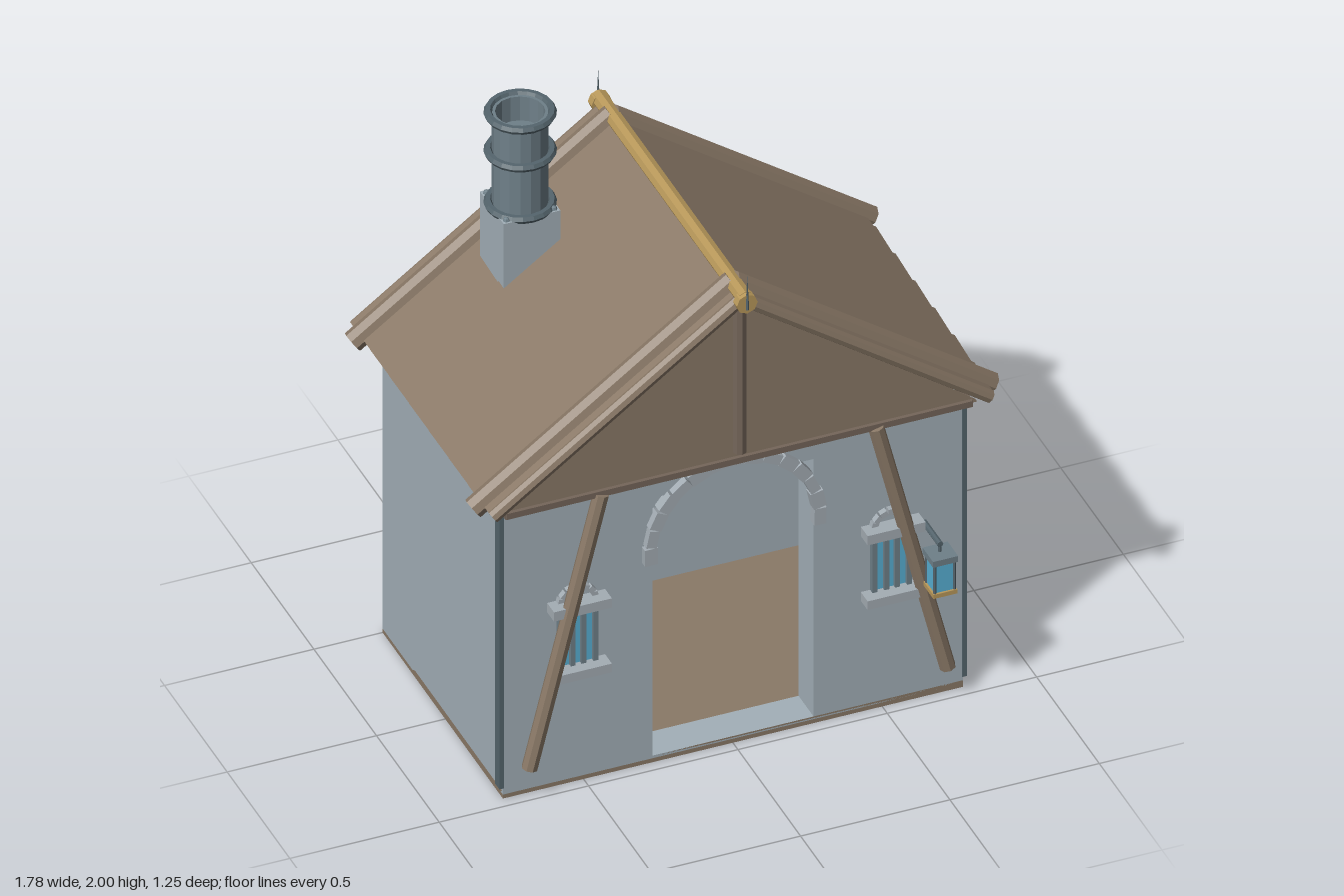
import * as THREE from 'three';

const paint = (color, side = THREE.FrontSide) =>
  new THREE.MeshStandardMaterial({ color, flatShading: true, side });
const WALL = paint(0xa3b0b8), STONE = paint(0xa4adb4), WOOD = paint(0x8a7967),
  DARKWOOD = paint(0x75665a), GOLD = paint(0xb8985a), IRON = paint(0x55656d, THREE.DoubleSide),
  STEEL = paint(0x6f8089, THREE.DoubleSide), GLASS = paint(0x58b0d4);

function add(parent, name, geometry, material, x = 0, y = 0, z = 0) {
  const mesh = new THREE.Mesh(geometry, material);
  mesh.name = name;
  mesh.position.set(x, y, z);
  parent.add(mesh);
  return mesh;
}

// box given by its low and high corners
function box(parent, name, material, x0, x1, y0, y1, z0, z1) {
  return add(parent, name, new THREE.BoxGeometry(x1 - x0, y1 - y0, z1 - z0), material,
    (x0 + x1) / 2, (y0 + y1) / 2, (z0 + z1) / 2);
}

// faceted log between two points
function log(parent, name, material, a, b, r, sides = 8) {
  const from = new THREE.Vector3(...a), to = new THREE.Vector3(...b);
  const mesh = add(parent, name, new THREE.CylinderGeometry(r, r, from.distanceTo(to), sides), material);
  mesh.position.copy(from).lerp(to, 0.5);
  mesh.quaternion.setFromUnitVectors(new THREE.Vector3(0, 1, 0), to.sub(from).normalize());
  return mesh;
}

// ring of separate stones following half an ellipse
function stoneArch(parent, name, x, y, z, rx, ry, count, thick, depth, extra = 0) {
  const arch = new THREE.Group();
  arch.name = name;
  arch.position.set(x, y, z);
  parent.add(arch);
  const sweep = Math.PI + 2 * extra, length = sweep * (rx + ry) / 2 / count * 0.95;
  for (let i = 0; i < count; i++) {
    const t = -extra + sweep * (i + 0.5) / count;
    const wobble = 1 + 0.12 * Math.sin(i * 2.3);
    const stone = add(arch, 'archStone', new THREE.BoxGeometry(thick * wobble, length, depth), STONE,
      rx * Math.cos(t), ry * Math.sin(t), 0);
    stone.rotation.z = Math.atan2(rx * Math.sin(t), ry * Math.cos(t));
  }
}

function buildWalls(house) {
  box(house, 'floor', WOOD, -0.77, 0.77, 0, 0.025, -0.5, 0.46);
  box(house, 'backWall', WALL, -0.77, 0.77, 0.015, 1.1, -0.5, -0.4);
  for (const s of [-1, 1]) {
    const side = box(house, 'sideWall', WALL, -0.05, 0.05, 0.015, 1.1, -0.4, 0.34);
    side.position.x = s * 0.72;
    box(house, 'cornerPost', IRON, s * 0.775 - 0.008, s * 0.775 + 0.008, 0.04, 1.1, 0.427, 0.463);
    box(house, 'wallPlate', DARKWOOD, s * 0.772 - 0.01, s * 0.772 + 0.01, 1.09, 1.115, -0.55, 0.51);
  }
  // front wall with the doorway cut through
  const wall = new THREE.Shape([[-0.77, 0.015], [0.77, 0.015], [0.77, 1.1], [-0.77, 1.1]]
    .map(p => new THREE.Vector2(...p)));
  wall.holes.push(new THREE.Path([[-0.27, 0.025], [-0.27, 1.0], [0.27, 1.0], [0.27, 0.025]]
    .map(p => new THREE.Vector2(...p))));
  add(house, 'frontWall', new THREE.ExtrudeGeometry(wall, { depth: 0.12, bevelEnabled: false }), WALL, 0, 0, 0.34);
  stoneArch(house, 'doorArch', 0, 0.8, 0.468, 0.283, 0.285, 15, 0.04, 0.035, 0.13);
}

function buildRoof(house) {
  const roof = new THREE.Group();
  roof.name = 'roof';
  house.add(roof);
  const slope = Math.atan2(0.63, 0.88);
  for (const s of [-1, 1]) {
    // planks run down the slope, each tipped slightly over the next
    for (let i = 0; i < 7; i++) {
      const plank = add(roof, 'roofPlank', new THREE.BoxGeometry(1.03, 0.022, 0.16), WOOD,
        s * 0.42, 1.435, -0.495 + i * 0.157);
      plank.rotation.set(0.045, 0, -s * slope, 'ZXY');
    }
    for (const z of [0.455, -0.507])
      log(roof, 'outerRafter', WOOD, [0, 1.745, z], [s * 0.868, 1.122, z], 0.036);
    for (const z of [0.527, -0.573])
      log(roof, 'gableRafter', WOOD, [0, 1.725, z], [s * 0.832, 1.127, z], 0.022);
  }
  // gable boards with tie beam and king post
  const gable = new THREE.Shape([[-0.8, 1.1], [0.8, 1.1], [0, 1.72]].map(p => new THREE.Vector2(...p)));
  for (const [z, out] of [[0.495, 1], [-0.545, -1]]) {
    add(roof, 'gable', new THREE.ExtrudeGeometry(gable, { depth: 0.015, bevelEnabled: false }), WOOD, 0, 0, z - 0.0075);
    box(roof, 'tieBeam', DARKWOOD, -0.78, 0.78, 1.093, 1.115, z - 0.02, z + 0.02);
    log(roof, 'kingPost', DARKWOOD, [0, 1.14, z + out * 0.02], [0, 1.73, z + out * 0.02], 0.022);
  }
  // ridge beam with end caps and spikes
  log(roof, 'ridgeBeam', GOLD, [0, 1.745, -0.61], [0, 1.745, 0.56], 0.027);
  for (const [z, out] of [[0.56, 1], [-0.6, -1]]) {
    log(roof, 'ridgeCap', GOLD, [0, 1.735, z - 0.015], [0, 1.735, z + 0.015], 0.035);
    add(roof, 'ridgeSpike', new THREE.ConeGeometry(0.006, 0.13, 6), IRON, 0, 1.78, z + out * 0.015);
  }
}

function buildChimney(house) {
  const chimney = new THREE.Group();
  chimney.name = 'chimney';
  chimney.position.set(-0.387, 0, -0.315);
  house.add(chimney);
  box(chimney, 'chimneyStack', WALL, -0.095, 0.095, 0.55, 1.65, -0.095, 0.095);
  // hollow pipe, closed a little below the rim
  const pipe = [[0, 1.9], [0.078, 1.9], [0.078, 1.99], [0.088, 1.99], [0.088, 1.65]]
    .map(p => new THREE.Vector2(...p));
  add(chimney, 'chimneyPipe', new THREE.LatheGeometry(pipe, 16), STEEL);
  for (const y of [1.65, 1.845, 1.988]) {
    const ring = add(chimney, 'chimneyRing', new THREE.TorusGeometry(0.1, 0.014, 6, 20), IRON, 0, y, 0);
    ring.rotation.x = Math.PI / 2;
  }
  for (let i = 0; i < 4; i++) {
    const a = Math.PI / 4 + i * Math.PI / 2;
    add(chimney, 'pipeBolt', new THREE.SphereGeometry(0.012, 6, 4), STEEL,
      0.112 * Math.cos(a), 1.65, 0.112 * Math.sin(a));
  }
}

function buildHearth(house) {
  const hearth = new THREE.Group();
  hearth.name = 'hearth';
  hearth.position.x = -0.39;
  house.add(hearth);
  box(hearth, 'hearthShelf', WOOD, -0.28, 0.28, 0.32, 0.37, -0.4, -0.1);
  box(hearth, 'hearthGlow', GLASS, -0.23, 0.23, 0.37, 0.395, -0.4, -0.2);
  box(hearth, 'hearthSlab', STEEL, -0.24, 0.24, 0.395, 0.435, -0.4, -0.19);
  stoneArch(hearth, 'hearthArch', 0, 0.42, -0.23, 0.19, 0.15, 11, 0.04, 0.06);
}

function buildWindow(house, x) {
  const win = new THREE.Group();
  win.name = 'window';
  win.position.set(x, 0, 0);
  house.add(win);
  box(win, 'windowSill', STONE, -0.097, 0.097, 0.42, 0.453, 0.44, 0.515);
  box(win, 'windowLintel', STONE, -0.097, 0.097, 0.665, 0.7, 0.44, 0.515);
  box(win, 'windowGlass', GLASS, -0.06, 0.06, 0.453, 0.665, 0.44, 0.467);
  for (const bar of [-0.058, -0.018, 0.018, 0.058])
    box(win, 'windowBar', STEEL, bar - 0.008, bar + 0.008, 0.453, 0.665, 0.455, 0.48);
  stoneArch(win, 'windowArch', 0, 0.69, 0.465, 0.058, 0.052, 7, 0.02, 0.03);
}

function buildLantern(house) {
  const lantern = new THREE.Group();
  lantern.name = 'lantern';
  lantern.position.set(0.64, 0, 0.59);
  house.add(lantern);
  log(lantern, 'lanternArm', IRON, [0, 0.66, -0.14], [0, 0.66, 0], 0.01);
  log(lantern, 'lanternHook', IRON, [0, 0.62, -0.005], [0, 0.66, -0.005], 0.006, 6);
  box(lantern, 'lanternCap', STEEL, -0.042, 0.042, 0.61, 0.632, -0.042, 0.042);
  box(lantern, 'lanternGlass', GLASS, -0.033, 0.033, 0.505, 0.61, -0.033, 0.033);
  box(lantern, 'lanternBase', GOLD, -0.04, 0.04, 0.49, 0.505, -0.04, 0.04);
  for (const sx of [-1, 1]) for (const sz of [-1, 1])
    log(lantern, 'lanternPost', IRON, [sx * 0.033, 0.5, sz * 0.033], [sx * 0.033, 0.615, sz * 0.033], 0.005, 6);
}

export function createModel() {
  const house = new THREE.Group();
  house.name = 'cottage';
  buildWalls(house);
  buildRoof(house);
  buildChimney(house);
  buildHearth(house);
  for (const s of [-1, 1]) {
    buildWindow(house, s * 0.525);
    log(house, 'frontBrace', WOOD, [s * 0.46, 1.1, 0.505], [s * 0.7, 0.125, 0.505], 0.026);
  }
  buildLantern(house);
  return house;
}
